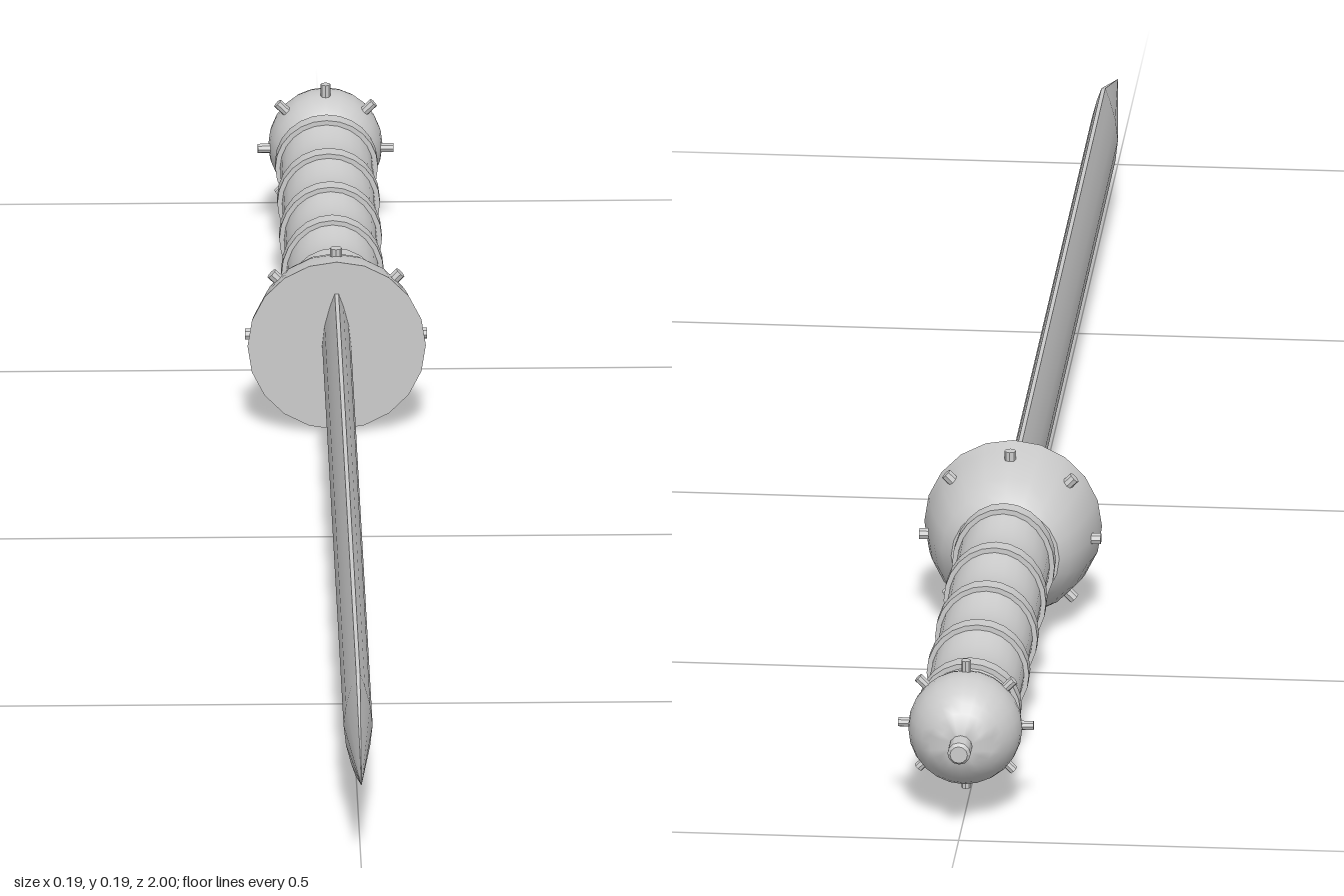
import * as THREE from 'three';
import { toCreasedNormals } from 'three/addons/utils/BufferGeometryUtils.js';

const grey = new THREE.MeshStandardMaterial({ color: 0xcccccc });
const AXIS_Y = 0.095;

function addPart(group, name, geometry, crease = 0.6) {
  const mesh = new THREE.Mesh(toCreasedNormals(geometry, crease), grey);
  mesh.name = name;
  group.add(mesh);
  return mesh;
}

// Turned part around the z axis; profile pairs are [radius, z], back to front
function turned(profile, sides) {
  const points = profile.map(([r, z]) => new THREE.Vector2(r, z));
  return new THREE.LatheGeometry(points, sides).rotateX(Math.PI / 2);
}

// Oval rod along z whose half-width and half-height follow rules of z
function ovalRod(z0, z1, steps, halfX, halfY) {
  const g = new THREE.CylinderGeometry(1, 1, z1 - z0, 24, steps);
  g.rotateX(Math.PI / 2).translate(0, 0, (z0 + z1) / 2);
  const p = g.attributes.position;
  for (let i = 0; i < p.count; i++) {
    const z = p.getZ(i);
    p.setXY(i, p.getX(i) * halfX(z), p.getY(i) * halfY(z));
  }
  return g;
}

// Ring of small pegs pointing outwards
function addStuds(group, name, count, z, inner, outer, radius) {
  for (let i = 0; i < count; i++) {
    const g = new THREE.CylinderGeometry(radius, radius, outer - inner, 8);
    g.translate(0, (inner + outer) / 2, 0).rotateZ((i / count) * Math.PI * 2).translate(0, 0, z);
    addPart(group, name, g);
  }
}

// Lens-section blade: straight body, then straight taper to a point
function bladeGeometry() {
  const half = [[0.002, 0.057], [0.007, 0.043], [0.0125, 0.022], [0.015, 0]];
  const right = [...half, ...half.slice(0, 3).reverse().map(([x, y]) => [x, -y])];
  const section = [...right, ...right.map(([x, y]) => [-x, -y])];
  const stations = [[-0.33, 1], [0.82, 1], [1, 0.001]];
  const n = section.length;
  const positions = [], index = [];
  for (const [z, s] of stations) for (const [x, y] of section) positions.push(x * s, y * s, z);
  for (let k = 0; k < stations.length - 1; k++) {
    for (let i = 0; i < n; i++) {
      const a = k * n + i, b = k * n + (i + 1) % n;
      index.push(a, a + n, b, b, a + n, b + n);
    }
  }
  const g = new THREE.BufferGeometry();
  g.setAttribute('position', new THREE.Float32BufferAttribute(positions, 3));
  g.setIndex(index);
  return g;
}

export function createModel() {
  const sword = new THREE.Group();
  sword.name = 'shortSword';
  sword.position.y = AXIS_Y;

  addPart(sword, 'blade', bladeGeometry(), 0.3);

  // Bell-shaped guard with a flat front
  addPart(sword, 'guard', turned([
    [0, -0.415], [0.056, -0.415], [0.067, -0.402], [0.076, -0.385],
    [0.084, -0.36], [0.089, -0.335], [0.092, -0.315], [0, -0.315],
  ], 20));
  addStuds(sword, 'guardStud', 8, -0.352, 0.07, 0.094, 0.006);

  // Grip narrows backwards and dips between the rings
  const first = -0.43, pitch = 0.107;
  const ringY = (z) => 0.062 + (z - first) * 0.025;
  const gripY = (z) => ringY(z) - 0.003 - 0.008 * Math.abs(Math.sin(((z - first) / pitch) * Math.PI));
  addPart(sword, 'grip', ovalRod(-0.875, -0.405, 48, () => 0.048, gripY), 0.9);
  for (let i = 0; i < 5; i++) {
    const z = first - i * pitch;
    addPart(sword, 'gripRing', ovalRod(z - 0.009, z + 0.009, 1, () => 0.053, () => ringY(z)));
  }

  // Round pommel with studs and an end knob
  const pommel = new THREE.SphereGeometry(0.059, 24, 16).rotateX(Math.PI / 2).translate(0, 0, -0.917);
  addPart(sword, 'pommel', pommel);
  addStuds(sword, 'pommelStud', 8, -0.907, 0.045, 0.07, 0.005);
  addPart(sword, 'endKnob', turned([
    [0, -1], [0.009, -1], [0.012, -0.996], [0.012, -0.965], [0, -0.965],
  ], 12));

  const model = new THREE.Group();
  model.name = 'model';
  model.add(sword);
  return model;
}
